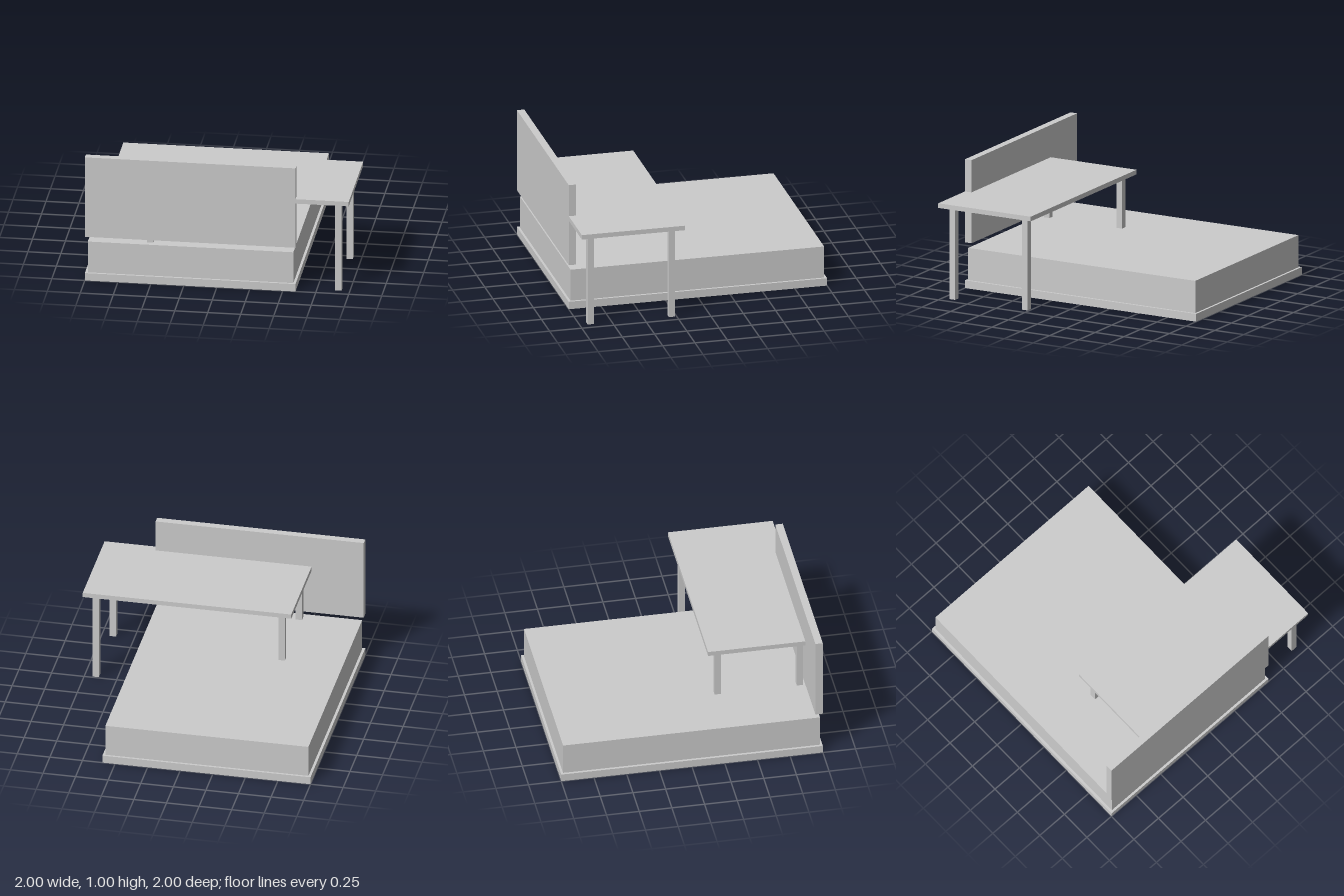
import * as THREE from 'three';

export function createModel() {
  const model = new THREE.Group();
  model.name = 'bedWithOverbedTable';
  const paleGrey = new THREE.MeshStandardMaterial({ color: 0xcccccc });
  paleGrey.name = 'pale grey';

  // Box given by its [min, max] extents on each axis
  const addBox = (parent, name, [x0, x1], [y0, y1], [z0, z1]) => {
    const mesh = new THREE.Mesh(new THREE.BoxGeometry(x1 - x0, y1 - y0, z1 - z0), paleGrey);
    mesh.position.set((x0 + x1) / 2, (y0 + y1) / 2, (z0 + z1) / 2);
    mesh.name = name;
    parent.add(mesh);
  };

  // Bed
  const bed = new THREE.Group();
  bed.name = 'bed';
  addBox(bed, 'bedBase', [-1, 0.597], [0, 0.06], [-1, 1]);
  addBox(bed, 'mattress', [-0.98, 0.578], [0.06, 0.31], [-0.982, 0.982]);
  addBox(bed, 'headboard', [-1, 0.597], [0.355, 1], [0.943, 1]);

  // Table standing across the head end
  const table = new THREE.Group();
  table.name = 'table';
  addBox(table, 'tableTop', [-0.6, 1], [0.714, 0.75], [0.2, 1]);
  const half = 0.0245;
  for (const sx of [-1, 1]) {
    for (const sz of [-1, 1]) {
      const x = 0.2 + sx * 0.713;
      const z = 0.6 + sz * 0.314;
      addBox(table, 'tableLeg', [x - half, x + half], [0, 0.714], [z - half, z + half]);
    }
  }

  model.add(bed, table);
  return model;
}
